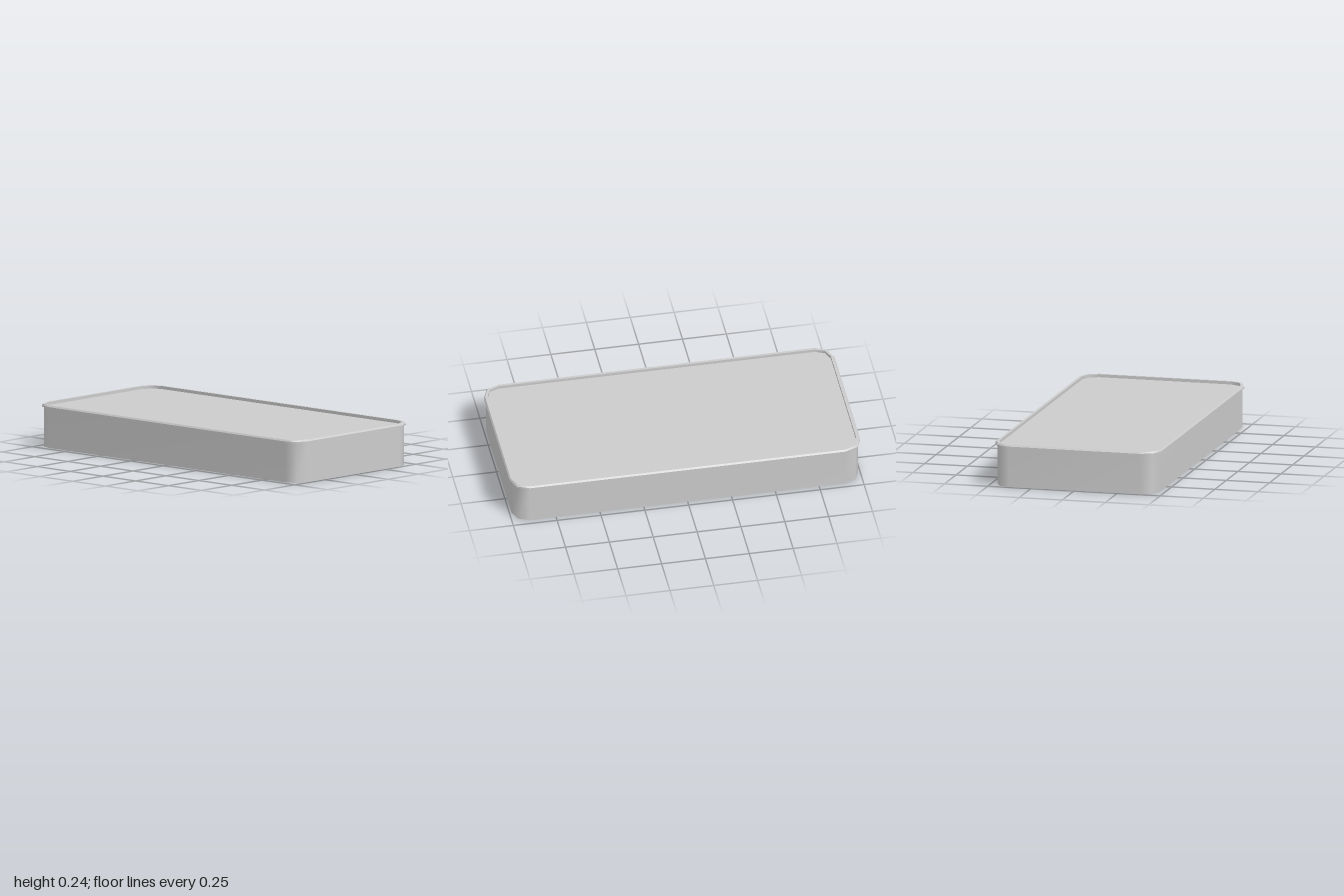
import * as THREE from 'three';
import { mergeGeometries } from 'three/addons/utils/BufferGeometryUtils.js';

const HALF_X = 1, HALF_Z = 0.481, RADIUS = 0.1, CORNER_STEPS = 2;

// Rounded rectangle in x and z, shrunk by an inset
function outline(inset) {
  const r = RADIUS - inset, cx = HALF_X - RADIUS, cz = HALF_Z - RADIUS;
  const points = [];
  [[1, 1], [-1, 1], [-1, -1], [1, -1]].forEach(([sx, sz], corner) => {
    for (let i = 0; i <= CORNER_STEPS; i++) {
      const a = (corner + i / CORNER_STEPS) * Math.PI / 2;
      points.push(new THREE.Vector2(sx * cx + r * Math.cos(a), sz * cz + r * Math.sin(a)));
    }
  });
  return points;
}

// Wall strip between two [inset, y] levels, smooth around the outline
function band([insetA, yA], [insetB, yB]) {
  const a = outline(insetA), b = outline(insetB), n = a.length;
  const positions = [], index = [];
  a.forEach((p) => positions.push(p.x, yA, p.y));
  b.forEach((p) => positions.push(p.x, yB, p.y));
  for (let i = 0; i < n; i++) {
    const j = (i + 1) % n;
    index.push(i, n + i, j, j, n + i, n + j);
  }
  const geometry = new THREE.BufferGeometry();
  geometry.setAttribute('position', new THREE.Float32BufferAttribute(positions, 3));
  geometry.setIndex(index);
  geometry.computeVertexNormals();
  return geometry;
}

// Sweeps a profile of [inset, y] levels with a hard edge at each level
function sweep(profile) {
  return mergeGeometries(profile.slice(1).map((level, i) => band(profile[i], level)));
}

// Flat plate facing up (1) or down (-1)
function plate(inset, y, facing) {
  return new THREE.ShapeGeometry(new THREE.Shape(outline(inset)))
    .rotateX(-facing * Math.PI / 2).translate(0, y, 0);
}

export function createModel() {
  const group = new THREE.Group();
  const material = new THREE.MeshStandardMaterial({ color: 0xcccccc });
  const add = (name, geometry) => {
    const mesh = new THREE.Mesh(geometry, material);
    mesh.name = name;
    group.add(mesh);
  };

  // Body walls, base and recessed top
  add('bodyWall', sweep([[0.012, 0], [0.012, 0.226]]));
  add('base', plate(0.012, 0, -1));
  add('topPanel', plate(0.012, 0.226, 1));

  // Overhanging rim with a chamfered outer edge
  add('rim', sweep([
    [0.022, 0.226], [0, 0.226], [0, 0.234], [0.007, 0.243], [0.022, 0.243], [0.022, 0.226],
  ]));
  return group;
}
